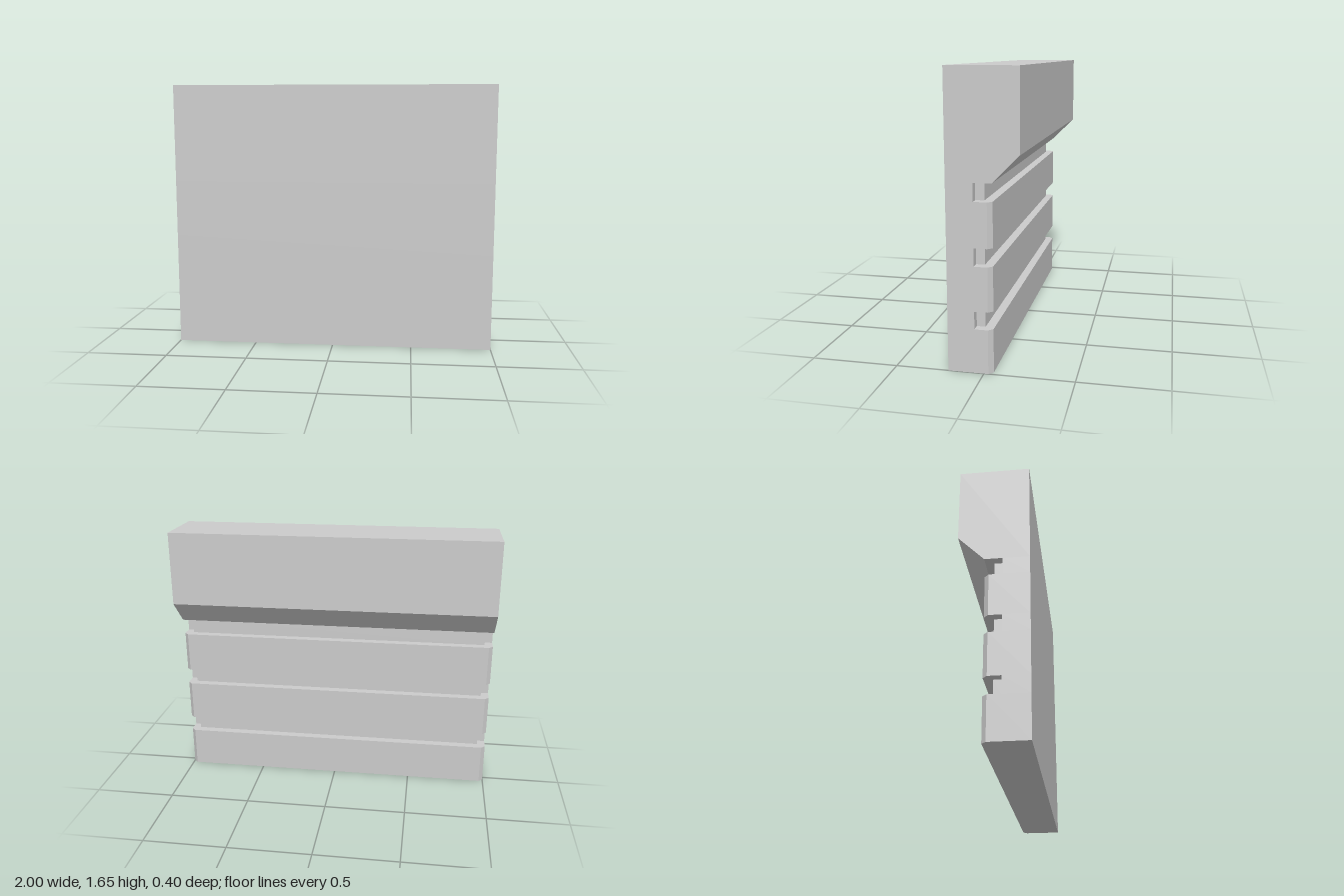
import * as THREE from 'three';

const material = new THREE.MeshStandardMaterial({ color: 0xcccccc, flatShading: true });

function extrude(points, depth) {
  const shape = new THREE.Shape(points.map(([a, b]) => new THREE.Vector2(a, b)));
  return new THREE.ExtrudeGeometry(shape, { depth, bevelEnabled: false });
}

function addMesh(group, name, geometry) {
  const mesh = new THREE.Mesh(geometry, material);
  mesh.name = name;
  group.add(mesh);
}

// Horizontal slab, symmetric in x; half outline given as [x, z] from front to back
function slab(half, y0, y1) {
  const right = half.map(([x, z]) => [x, -z]);
  const left = right.map(([x, s]) => [-x, s]).reverse();
  return extrude([...right, ...left], y1 - y0).rotateX(-Math.PI / 2).translate(0, y0, 0);
}

export function createModel() {
  const group = new THREE.Group();
  group.name = 'groovedPanel';

  // Bands with chamfered rear corners, separated by grooves that wrap round the ends
  const bandOutline = [[1, 0.2], [1, -0.025], [0.975, -0.05]];
  const grooveOutline = [[1, 0.2], [1, 0.05], [0.95, 0.05], [0.95, 0]];
  const bandHeight = 0.25, pitch = 0.35, count = 3;
  for (let i = 0; i < count; i++) {
    const y = i * pitch;
    addMesh(group, `band${i + 1}`, slab(bandOutline, y, y + bandHeight));
    addMesh(group, `groove${i + 1}`, slab(grooveOutline, y + bandHeight, y + pitch));
  }

  // Thick header with a sloping underside, profile in [z, y]
  const profile = [[0.2, 1.05], [0.2, 1.65], [-0.2, 1.65], [-0.2, 1.2], [-0.05, 1.05]];
  addMesh(group, 'header', extrude(profile, 2).rotateY(-Math.PI / 2).translate(1, 0, 0));

  return group;
}
